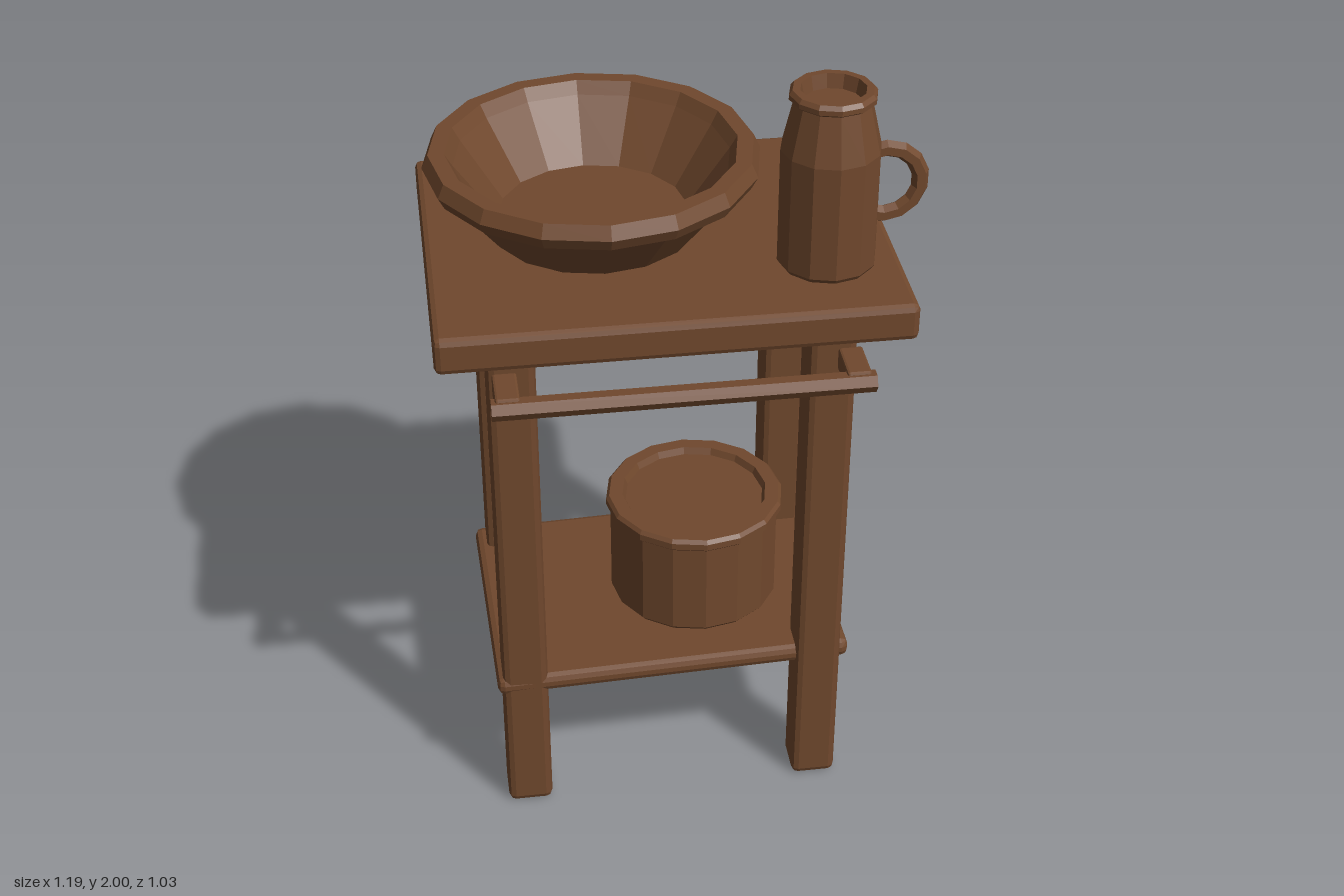
import * as THREE from 'three';
import { RoundedBoxGeometry } from 'three/addons/geometries/RoundedBoxGeometry.js';

export function createModel() {
  const group = new THREE.Group();
  const wood = new THREE.MeshStandardMaterial({ color: 0x70482d });
  wood.name = 'brownWood';

  // Faceted look: every face gets its own normal
  function add(name, geometry, x, y, z, parent = group) {
    const geo = geometry.index ? geometry.toNonIndexed() : geometry;
    geo.computeVertexNormals();
    const mesh = new THREE.Mesh(geo, wood);
    mesh.name = name;
    mesh.position.set(x, y, z);
    parent.add(mesh);
    return mesh;
  }
  // Box with chamfered edges
  const box = (w, h, d, bevel) => new RoundedBoxGeometry(w, h, d, 1, bevel);
  // Turned vessel from a list of [radius, height]
  const turned = (profile, sides) =>
    new THREE.LatheGeometry(profile.map(([r, h]) => new THREE.Vector2(r, h)), sides);

  // Table top
  add('tableTop', box(1.135, 0.095, 0.89, 0.016), -0.033, 1.498, -0.042);

  // Four legs
  for (const x of [-0.42, 0.353])
    for (const z of [0.247, -0.325])
      add('leg', box(0.117, 1.46, 0.117, 0.018), x, 0.73, z);

  // Lower shelf, set slightly askew
  const shelf = add('shelf', box(0.93, 0.05, 0.675, 0.018), -0.035, 0.411, -0.04);
  shelf.rotation.set(0, 0.022, 0.014);

  // Towel rail with its two brackets
  const rail = add('towelRail', new THREE.CylinderGeometry(0.026, 0.026, 0.893, 6), -0.033, 1.406, 0.488);
  rail.rotation.z = Math.PI / 2;
  for (const x of [-0.441, 0.374])
    add('railBracket', box(0.058, 0.058, 0.115, 0.006), x, 1.406, 0.437);

  // Wash bowl
  add('bowl', turned([
    [0, 0], [0.258, 0], [0.372, 0.143], [0.397, 0.145], [0.413, 0.176],
    [0.397, 0.21], [0.357, 0.21], [0.338, 0.178], [0.234, 0.03], [0, 0.03],
  ], 16), -0.177, 1.545, -0.103);

  // Lidded pot on the shelf
  add('pot', turned([
    [0, 0], [0.215, 0], [0.225, 0.012], [0.225, 0.27], [0.236, 0.28], [0.236, 0.298],
    [0.228, 0.308], [0.192, 0.308], [0.184, 0.29], [0, 0.29],
  ], 16), 0.07, 0.436, -0.04);

  // Jug with a round handle
  const jug = new THREE.Group();
  jug.name = 'jug';
  jug.position.set(0.354, 1.545, 0.163);
  group.add(jug);
  add('jugBody', turned([
    [0, 0], [0.112, 0], [0.12, 0.012], [0.12, 0.305], [0.092, 0.425], [0.104, 0.433],
    [0.104, 0.445], [0.096, 0.455], [0.078, 0.455], [0.07, 0.42], [0, 0.42],
  ], 12), 0, 0, 0, jug);
  const sweep = THREE.MathUtils.degToRad(230);
  const handle = add('jugHandle', new THREE.TorusGeometry(0.087, 0.021, 6, 9, sweep), 0.132, 0.205, 0, jug);
  handle.rotation.z = -sweep / 2;

  return group;
}
